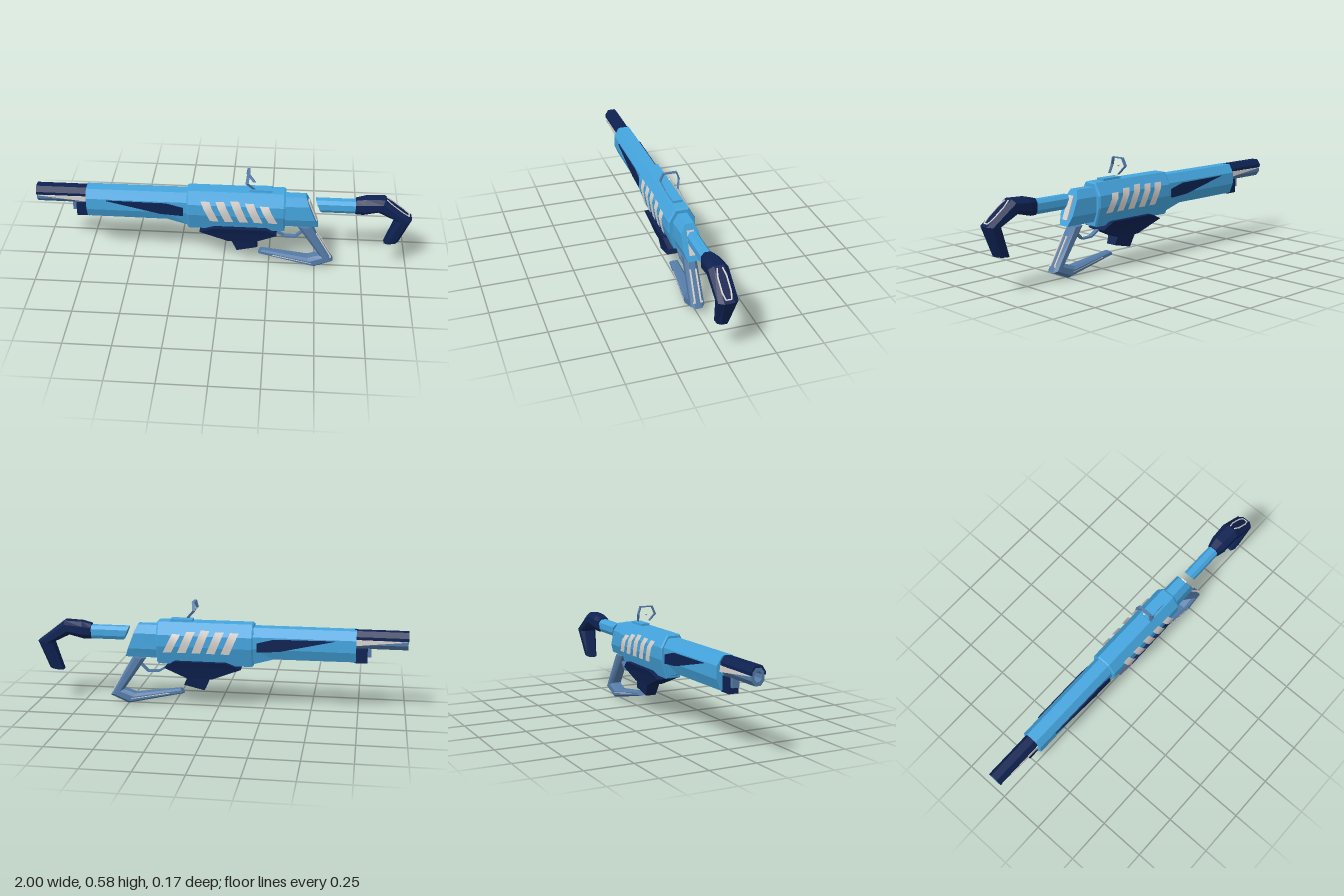
import * as THREE from 'three';

const mat = (name, color, side = THREE.FrontSide) => {
  const m = new THREE.MeshStandardMaterial({ color, side });
  m.name = name;
  return m;
};

// Flat-faced solid through rings of [x, y, z] points, capped at both ends
function loft(rings) {
  const pos = [], n = rings[0].length;
  const tri = (a, b, c) => pos.push(...a, ...b, ...c);
  for (let i = 0; i + 1 < rings.length; i++) {
    for (let j = 0; j < n; j++) {
      const k = (j + 1) % n, p = rings[i], q = rings[i + 1];
      tri(p[j], q[j], q[k]);
      tri(p[j], q[k], p[k]);
    }
  }
  const first = rings[0], last = rings[rings.length - 1];
  for (let j = 1; j + 1 < n; j++) {
    tri(first[0], first[j], first[j + 1]);
    tri(last[0], last[j + 1], last[j]);
  }
  // Turn the faces outward if the enclosed volume is negative
  let volume = 0;
  const a = new THREE.Vector3(), b = new THREE.Vector3(), c = new THREE.Vector3();
  for (let i = 0; i < pos.length; i += 9) {
    a.fromArray(pos, i); b.fromArray(pos, i + 3); c.fromArray(pos, i + 6);
    volume += a.dot(b.cross(c));
  }
  if (volume < 0) {
    for (let i = 0; i < pos.length; i += 9) {
      for (let k = 3; k < 6; k++) [pos[i + k], pos[i + k + 3]] = [pos[i + k + 3], pos[i + k]];
    }
  }
  const g = new THREE.BufferGeometry();
  g.setAttribute('position', new THREE.Float32BufferAttribute(pos, 3));
  g.computeVertexNormals();
  return g;
}

// Ring at x from a half profile of [z, y] points
const ringX = (x, half) => [
  ...half.map(([z, y]) => [x, y, z]),
  ...[...half].reverse().map(([z, y]) => [x, y, -z]),
];

// Bevelled limb: sections are [outerX, outerY, innerX, innerY, halfWidth]
const limb = (sections) => loft(sections.map(([ox, oy, ix, iy, w]) => {
  const half = [[0, 0.5], [0.25, 1], [0.72, 1], [1, 0.6]].map(([t, s]) =>
    [ox + (ix - ox) * t, oy + (iy - oy) * t, w * s]);
  return [...half, ...[...half].reverse().map(([x, y, z]) => [x, y, -z])];
}));

// Thin bar between two points
function bar(a, b, width, thick) {
  const p = new THREE.Vector3(...a), q = new THREE.Vector3(...b);
  const d = q.clone().sub(p), len = d.length();
  d.normalize();
  const side = new THREE.Vector3(0, 0, 1).addScaledVector(d, -d.z);
  if (side.lengthSq() < 1e-6) side.set(0.6, 0.8, 0);
  side.normalize();
  const g = new THREE.BoxGeometry(len, thick, width);
  g.applyMatrix4(new THREE.Matrix4().makeBasis(d, side.clone().cross(d), side));
  return g.translate(...p.add(q).multiplyScalar(0.5).toArray());
}

const box = (x0, x1, y0, y1, w) =>
  new THREE.BoxGeometry(x1 - x0, y1 - y0, w * 2).translate((x0 + x1) / 2, (y0 + y1) / 2, 0);

export function createModel() {
  const group = new THREE.Group();
  const blue = mat('sky blue', 0x45a6e0);
  const navy = mat('navy', 0x0e2252);
  const slate = mat('slate blue', 0x557ca8);
  const white = mat('warm white', 0xd8d3cf, THREE.DoubleSide);
  const add = (name, geometry, material) => {
    const m = new THREE.Mesh(geometry, material);
    m.name = name;
    group.add(m);
  };

  // Receiver with slightly bevelled ends
  const body = [[0.036, 0.473], [0.073, 0.408], [0.073, 0.345], [0.052, 0.28], [0.04, 0.242]];
  const inset = body.map(([z, y]) => [z * 0.93, 0.36 + (y - 0.36) * 0.95]);
  add('receiver', loft([
    ringX(-0.19, inset), ringX(-0.182, body), ringX(0.322, body), ringX(0.332, inset),
  ]), blue);
  add('topRail', box(0.14, 0.26, 0.47, 0.485, 0.025), blue);

  // Fore end, deepening towards the receiver
  const fore = (low) => [[0.03, 0.456], [0.058, 0.41], [0.058, 0.345], [0.035, low]];
  add('foreEnd', loft([
    ringX(-0.73, fore(0.29)), ringX(-0.3, fore(0.288)), ringX(-0.185, fore(0.255)),
  ]), blue);

  // Rear block with a pale plate on its sloping back
  add('rearBlock', limb([[0.32, 0.45, 0.32, 0.27, 0.05], [0.44, 0.45, 0.51, 0.27, 0.047]]), blue);
  add('rearPlate', bar([0.455, 0.42, 0], [0.5, 0.3, 0], 0.036, 0.008), white);

  // Hollow barrel
  const oct = (r) => Array.from({ length: 8 }, (_, i) => {
    const t = (i + 0.5) * Math.PI / 4;
    return new THREE.Vector2(Math.cos(t) * r * 0.8, Math.sin(t) * r);
  });
  const barrelShape = new THREE.Shape(oct(0.047));
  barrelShape.holes.push(new THREE.Path(oct(0.027)));
  add('barrel', new THREE.ExtrudeGeometry(barrelShape, { depth: 0.29, bevelEnabled: false })
    .rotateY(Math.PI / 2).translate(-0.998, 0.404, 0), slate);

  // Barrel cover: an arched shell over the top half
  const arch = [[-0.039, 0.412], [-0.039, 0.428], [-0.02, 0.456], [0.02, 0.456],
    [0.039, 0.428], [0.039, 0.412], [0.032, 0.412], [0.032, 0.425], [0.016, 0.445],
    [-0.016, 0.445], [-0.032, 0.425], [-0.032, 0.412]];
  add('barrelCover', new THREE.ExtrudeGeometry(
    new THREE.Shape(arch.map(([z, y]) => new THREE.Vector2(z, y))),
    { depth: 0.28, bevelEnabled: false }).rotateY(Math.PI / 2).translate(-1, 0, 0), navy);
  add('underLug', box(-0.79, -0.72, 0.283, 0.362, 0.026), navy);
  add('underRod', box(-0.81, -0.72, 0.315, 0.362, 0.018), slate);

  // Painted side plates, mirrored
  const plate = (points, z) => new THREE.ExtrudeGeometry(
    new THREE.Shape(points.map((p) => new THREE.Vector2(...p))),
    { depth: 0.007, bevelEnabled: false }).translate(0, 0, z - 0.0035);
  const panel = [[-0.62, 0.405], [-0.3, 0.402], [-0.21, 0.378], [-0.21, 0.33], [-0.33, 0.338]];
  const wedge = [[-0.99, 0.408], [-0.73, 0.413], [-0.73, 0.38], [-0.8, 0.388]];
  const rows = [[0.072, 0], [0.087, 0.3], [0.085, 0.66], [0.08, 1]];
  const tops = [0.432, 0.434, 0.44, 0.43, 0.415];
  for (const s of [1, -1]) {
    add('foreEndPanel', plate(panel, s * 0.062), navy);
    add('barrelWedge', plate(wedge, s * 0.038), white);
    // Slanted slats floating just off the receiver flanks
    tops.forEach((top, i) => {
      const g = new THREE.PlaneGeometry(1, 1, 1, 3), p = g.attributes.position;
      rows.forEach(([z, t], r) => {
        const x = -0.115 + i * 0.078 + t * 0.05;
        p.setXYZ(r * 2, x, top + (0.315 - top) * t, s * z);
        p.setXYZ(r * 2 + 1, x + 0.046, top + (0.315 - top) * t, s * z);
      });
      if (s < 0) g.index.array.reverse();
      g.computeVertexNormals();
      add('slat', g, white);
    });
  }

  // Flared lower housing and its stub
  const level = (x0, y0, x1, y1, w) => [[x0, y0, w], [x1, y1, w], [x1, y1, -w], [x0, y0, -w]];
  add('lowerHousing', loft([
    level(-0.045, 0.262, 0.235, 0.262, 0.073), level(-0.125, 0.228, 0.29, 0.222, 0.06),
    level(0.03, 0.165, 0.17, 0.165, 0.045),
  ]), navy);
  add('lowerStub', loft([
    level(0.04, 0.18, 0.165, 0.175, 0.04), level(0.075, 0.097, 0.187, 0.123, 0.03),
  ]), navy);

  // Trigger guard
  const guard = [[0.27, 0.225], [0.33, 0.188], [0.39, 0.186], [0.43, 0.225]];
  for (let i = 0; i < 3; i++) {
    add('triggerGuard', bar([...guard[i], 0], [...guard[i + 1], 0], 0.024, 0.009), slate);
  }

  // Hooked grip with pale inlays on its back and sides
  add('grip', limb([
    [0.475, 0.262, 0.4, 0.262, 0.033], [0.6, 0.045, 0.525, 0.08, 0.036],
    [0.5, 0.002, 0.46, 0.058, 0.036], [0.19, 0.07, 0.21, 0.095, 0.022],
  ]), slate);
  for (const s of [1, -1]) {
    add('gripInlay', bar([0.502, 0.22, s * 0.015], [0.585, 0.075, s * 0.016], 0.008, 0.006), white);
    add('gripInlayFoot', bar([0.585, 0.073, s * 0.013], [0.585, 0.073, s * 0.026], 0.008, 0.008), white);
    add('gripSideLine', bar([0.27, 0.07, s * 0.026], [0.48, 0.032, s * 0.035], 0.004, 0.004), white);
  }

  // Stock tube and hooked butt
  add('stockTube', limb([[0.49, 0.432, 0.52, 0.36, 0.03], [0.72, 0.432, 0.72, 0.36, 0.03]]), blue);
  add('butt', limb([
    [0.7, 0.44, 0.7, 0.358, 0.033], [0.75, 0.452, 0.74, 0.36, 0.046],
    [0.85, 0.456, 0.82, 0.38, 0.05], [1, 0.34, 0.92, 0.33, 0.05],
    [0.94, 0.185, 0.865, 0.175, 0.03],
  ]), navy);
  for (const s of [1, -1]) {
    const line = [[0.86, 0.449, 0.013], [0.893, 0.423, 0.022], [0.955, 0.375, 0.022], [0.985, 0.352, 0.014]];
    for (let i = 0; i < 3; i++) {
      const at = (k) => [line[k][0], line[k][1], s * line[k][2]];
      add('buttInlay', bar(at(i), at(i + 1), 0.007, 0.006), white);
    }
  }
  add('buttInlayEnd', bar([0.985, 0.352, -0.014], [0.985, 0.352, 0.014], 0.006, 0.006), white);

  // Open hexagonal sight with a small floating bead
  const ring = [[0.163, 0.498, 0.036], [0.127, 0.54, 0.054], [0.133, 0.583, 0.037],
    [0.133, 0.583, -0.037], [0.127, 0.54, -0.054], [0.163, 0.498, -0.036]];
  const sight = ring.map(([x, y, z]) => {
    const k = 0.87, yi = 0.54 + (y - 0.54) * (y > 0.55 ? k : 1);
    return [[x - 0.008, y, z], [x + 0.008, y, z], [x + 0.008, yi, z * k], [x - 0.008, yi, z * k]];
  });
  add('sight', loft(sight), slate);
  add('sightBead', new THREE.OctahedronGeometry(0.008).translate(0.13, 0.54, 0), white);

  return group;
}
